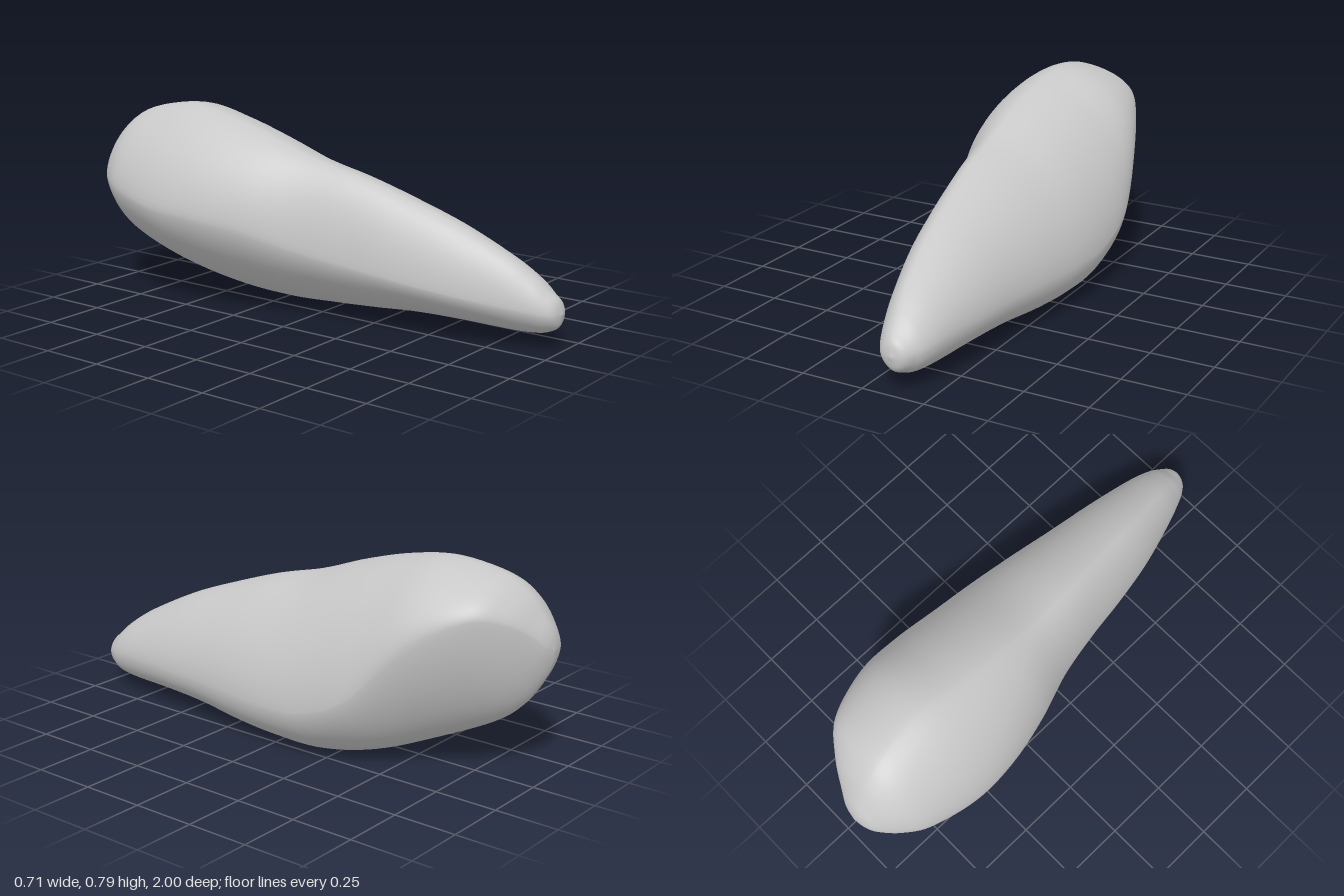
import * as THREE from 'three';
import { mergeVertices } from 'three/addons/utils/BufferGeometryUtils.js';

// End points of the body
const TIP = new THREE.Vector3(0.12, 0.14, 1);
const TAIL = new THREE.Vector3(-0.11, 0.49, -1);

// Cross-section extremes between the ends:
// z, left x, left y, right x, right y, top x, top y, bottom x, bottom y
const SECTIONS = [
  [0.985, 0.075, 0.14, 0.163, 0.14, 0.115, 0.19, 0.12, 0.09],
  [0.95, 0.045, 0.145, 0.19, 0.145, 0.10, 0.225, 0.12, 0.067],
  [0.9, 0.02, 0.155, 0.213, 0.15, 0.09, 0.272, 0.125, 0.053],
  [0.8, -0.02, 0.17, 0.235, 0.165, 0.065, 0.34, 0.13, 0.047],
  [0.6, -0.085, 0.20, 0.265, 0.175, 0.03, 0.44, 0.14, 0.048],
  [0.4, -0.13, 0.23, 0.29, 0.18, 0.0, 0.515, 0.15, 0.04],
  [0.2, -0.165, 0.26, 0.32, 0.18, -0.03, 0.58, 0.16, 0.02],
  [0.0, -0.213, 0.30, 0.345, 0.18, -0.05, 0.63, 0.16, 0.006],
  [-0.2, -0.29, 0.36, 0.355, 0.20, -0.06, 0.70, 0.15, 0.0],
  [-0.4, -0.342, 0.39, 0.347, 0.29, -0.06, 0.755, 0.10, 0.03],
  [-0.6, -0.357, 0.41, 0.288, 0.50, -0.05, 0.785, 0.02, 0.10],
  [-0.8, -0.322, 0.45, 0.19, 0.62, -0.07, 0.752, -0.05, 0.19],
  [-0.9, -0.268, 0.47, 0.085, 0.61, -0.09, 0.69, -0.08, 0.27],
  [-0.965, -0.205, 0.48, -0.015, 0.55, -0.10, 0.60, -0.10, 0.37],
  [-0.99, -0.16, 0.485, -0.06, 0.51, -0.11, 0.545, -0.11, 0.43],
];

// Smooth rail from tip to tail through one extreme of every section
const rail = (k) => new THREE.CatmullRomCurve3(
  [TIP, ...SECTIONS.map((s) => new THREE.Vector3(s[k], s[k + 1], s[0])), TAIL],
  false, 'catmullrom', 0.5);

// Quadrant flatness at the front and back: upper right, upper left, lower left, lower right
const FRONT = [1.15, 1.1, 1.22, 1.0];
const BACK = [1.1, 1.2, 1.26, 1.25];

// Each section is four rounded quadrants joining the rails
function bodyGeometry(rings = 128, sides = 64) {
  const rails = [1, 3, 5, 7].map(rail);
  const positions = [], index = [];
  for (let i = 0; i <= rings; i++) {
    const [L, R, T, B] = rails.map((r) => r.getPoint(i / rings));
    const back = THREE.MathUtils.smoothstep(-T.z, -0.2, 0.6);
    for (let j = 0; j < sides; j++) {
      const a = (j / sides) * Math.PI * 2;
      const q = Math.floor((4 * j) / sides);
      const flat = THREE.MathUtils.lerp(FRONT[q], BACK[q], back);
      const c = Math.abs(Math.cos(a)) ** flat;
      const s = Math.abs(Math.sin(a)) ** flat;
      const H = q === 0 || q === 3 ? R : L;
      const V = q < 2 ? T : B;
      positions.push(V.x + (H.x - V.x) * c, H.y + (V.y - H.y) * s, T.z);
      if (i < rings) {
        const p = i * sides + j, n = i * sides + ((j + 1) % sides);
        index.push(p, p + sides, n, n, p + sides, n + sides);
      }
    }
  }
  const g = new THREE.BufferGeometry();
  g.setAttribute('position', new THREE.Float32BufferAttribute(positions, 3));
  g.setIndex(index);
  const merged = mergeVertices(g, 1e-5);
  merged.computeVertexNormals();
  return merged;
}

export function createModel() {
  const group = new THREE.Group();
  group.name = 'smoothStone';
  const grey = new THREE.MeshStandardMaterial({ color: 0xc8c8c8 });
  grey.name = 'lightGrey';
  const body = new THREE.Mesh(bodyGeometry(), grey);
  body.name = 'body';
  group.add(body);
  return group;
}
